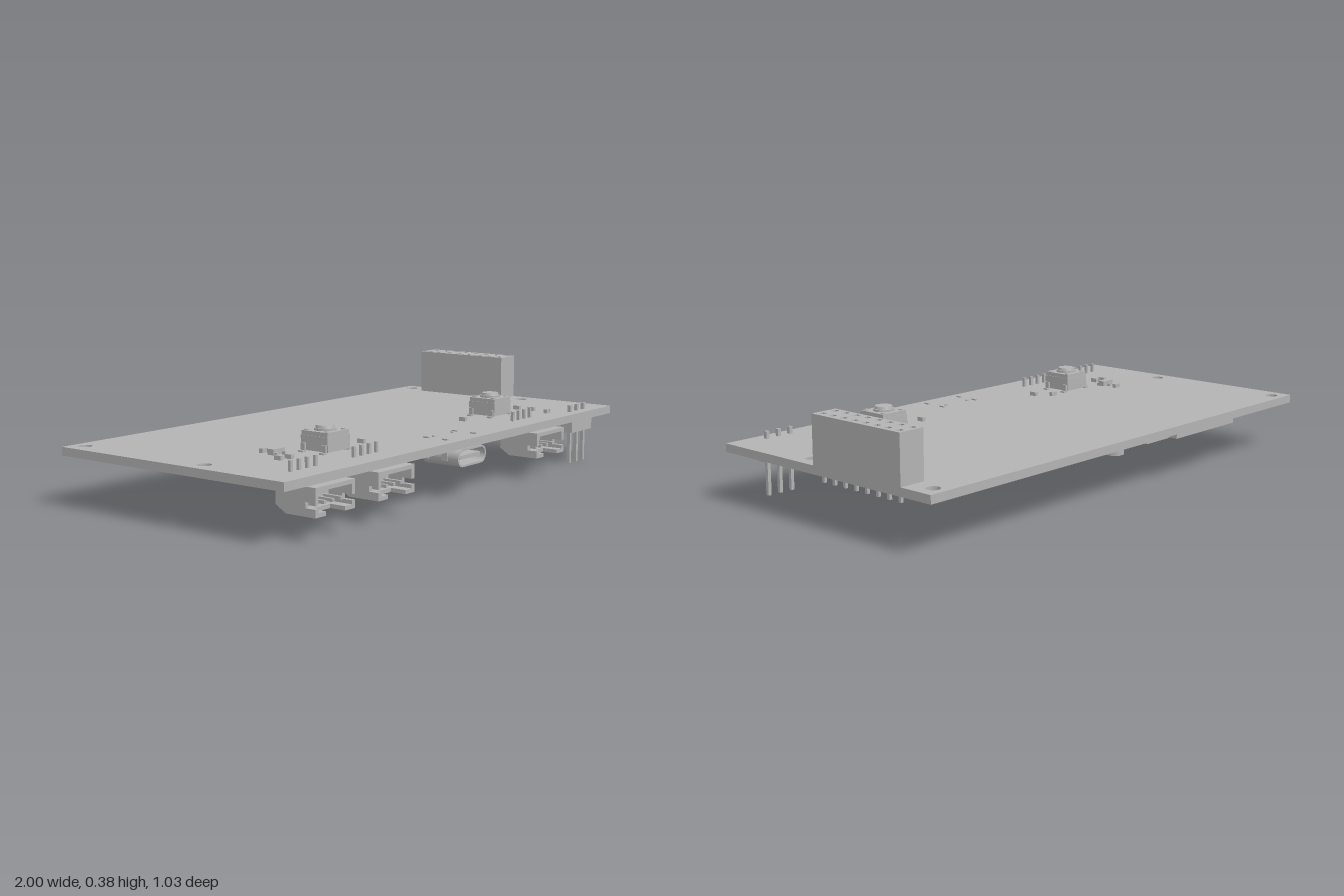
import * as THREE from 'three';

const grey = new THREE.MeshStandardMaterial({ color: 0xb3b3b3 });
grey.name = 'plain grey';
const TOP = 0.204, BOTTOM = 0.174;

function add(parent, name, geometry, x = 0, y = 0, z = 0) {
  const mesh = new THREE.Mesh(geometry, grey);
  mesh.name = name;
  mesh.position.set(x, y, z);
  parent.add(mesh);
  return mesh;
}

// Box given by its limits on each axis
function box(parent, name, x0, x1, y0, y1, z0, z1) {
  return add(parent, name, new THREE.BoxGeometry(x1 - x0, y1 - y0, z1 - z0),
    (x0 + x1) / 2, (y0 + y1) / 2, (z0 + z1) / 2);
}

// Box centred on x, z and standing between two heights
const post = (parent, name, x, z, w, d, y0, y1) =>
  box(parent, name, x - w / 2, x + w / 2, y0, y1, z - d / 2, z + d / 2);

const polygon = points => points.map(([x, y]) => new THREE.Vector2(x, y));
const rect = (x0, x1, z0, z1) => polygon([[x0, -z0], [x0, -z1], [x1, -z1], [x1, -z0]]);

// Plan outline (x, -z) raised to a height
function plate(shape, height) {
  const g = new THREE.ExtrudeGeometry(shape, { depth: height, bevelEnabled: false, curveSegments: 16 });
  return g.rotateX(-Math.PI / 2);
}

function group(parent, name, x = 0, y = 0, z = 0) {
  const g = new THREE.Group();
  g.name = name;
  g.position.set(x, y, z);
  parent.add(g);
  return g;
}

function addBoard(root) {
  const shape = new THREE.Shape(rect(-1, 1, -0.515, 0.48));
  for (const x of [-0.94, 0.94]) for (const z of [-0.465, 0.095])
    shape.holes.push(new THREE.Path().absarc(x, -z, 0.024, 0, Math.PI * 2, true));
  add(root, 'circuitBoard', plate(shape, TOP - BOTTOM), 0, BOTTOM, 0);
}

// Two rows of eight square sockets, with pins under the board
function addSocket(root) {
  const g = group(root, 'socketHeader');
  const shape = new THREE.Shape(rect(0.9, 1, -0.385, 0.022));
  for (const x of [0.922, 0.975]) for (let i = 0; i < 8; i++) {
    const z = -0.36 + i * 0.051, r = 0.01;
    shape.holes.push(new THREE.Path(rect(x - r, x + r, z - r, z + r)));
    post(g, 'socketPin', x, z, 0.011, 0.011, 0.147, TOP + 0.01);
  }
  add(g, 'socketHousing', plate(shape, 0.171), 0, TOP, 0);
}

function addButton(root, x) {
  const g = group(root, 'pushButton', x, TOP, 0.232);
  post(g, 'buttonBody', 0, 0, 0.116, 0.116, 0.006, 0.056);
  post(g, 'buttonCover', 0, 0, 0.112, 0.112, 0.056, 0.071);
  add(g, 'buttonCollar', new THREE.CylinderGeometry(0.038, 0.038, 0.008, 32), 0, 0.074, 0);
  add(g, 'buttonCap', new THREE.CylinderGeometry(0.031, 0.034, 0.012, 32), 0, 0.082, 0);
  for (const sx of [-1, 1]) for (const sz of [-1, 1]) {
    add(g, 'buttonRivet', new THREE.CylinderGeometry(0.008, 0.008, 0.004, 12), sx * 0.043, 0.073, sz * 0.043);
    post(g, 'buttonLeg', sx * 0.061, sz * 0.045, 0.008, 0.018, 0, 0.03);
    post(g, 'buttonFoot', sx * 0.068, sz * 0.045, 0.016, 0.018, 0, 0.006);
  }
}

// Side-entry four-pin connector hung below the board edge
function addConnector(root, x) {
  const g = group(root, 'cableConnector', x);
  const h = 0.097, wall = 0.016;
  const side = new THREE.Shape(polygon([
    [0.515, 0.174], [0.515, 0.126], [0.475, 0.126], [0.475, 0.107], [0.515, 0.107],
    [0.515, 0.08], [0.395, 0.08], [0.355, 0.105], [0.355, 0.174],
  ]));
  for (const left of [-h, h - wall]) {
    const geo = new THREE.ExtrudeGeometry(side, { depth: wall, bevelEnabled: false });
    // profile plane becomes (z, y)
    geo.rotateY(-Math.PI / 2);
    add(g, 'connectorSide', geo, left + wall, 0, 0);
  }
  box(g, 'connectorCeiling', -h, h, 0.16, 0.174, 0.4, 0.515);
  box(g, 'connectorBack', -h, h, 0.08, 0.174, 0.398, 0.42);
  box(g, 'connectorFloor', -h, h, 0.08, 0.094, 0.398, 0.455);
  for (const s of [-1, 1])
    post(g, 'connectorFloorProng', s * 0.072, 0.485, 0.05, 0.06, 0.08, 0.094);
  for (let i = 0; i < 4; i++) {
    const px = (i - 1.5) * 0.04;
    post(g, 'connectorPin', px, 0.385, 0.011, 0.011, 0.109, 0.24);
    post(g, 'connectorContact', px, 0.435, 0.011, 0.11, 0.109, 0.12);
  }
}

function addPinHeader(root) {
  const g = group(root, 'pinHeader');
  for (const x of [0.757, 0.808, 0.859]) {
    post(g, 'headerBlock', x, 0.435, 0.051, 0.05, 0.125, BOTTOM);
    post(g, 'headerPin', x, 0.435, 0.013, 0.013, 0, 0.23);
  }
}

// Rounded slot outline in the x, y plane
function slot(Type, halfWidth, r) {
  const p = new Type(), a = halfWidth - r;
  p.absarc(a, 0, r, -Math.PI / 2, Math.PI / 2, false);
  p.absarc(-a, 0, r, Math.PI / 2, Math.PI * 1.5, false);
  p.closePath();
  return p;
}

function addPort(root) {
  const g = group(root, 'chargingPort', -0.003, 0.142, 0);
  const opts = depth => ({ depth, bevelEnabled: false, curveSegments: 12 });
  const shell = slot(THREE.Shape, 0.088, 0.032);
  shell.holes.push(slot(THREE.Path, 0.081, 0.025));
  add(g, 'portShell', new THREE.ExtrudeGeometry(shell, opts(0.13)), 0, 0, 0.355);
  add(g, 'portBack', new THREE.ExtrudeGeometry(slot(THREE.Shape, 0.088, 0.032), opts(0.02)), 0, 0, 0.336);
  box(g, 'portTongue', -0.064, 0.064, -0.007, 0.007, 0.355, 0.475);
  for (const s of [-1, 1]) {
    for (const z of [0.35, 0.43]) post(g, 'portTab', s * 0.088, z, 0.008, 0.022, -0.01, 0.067);
    add(g, 'portPeg', new THREE.CylinderGeometry(0.006, 0.006, 0.045, 12), s * 0.058, 0.045, 0.36);
  }
}

// Radio module with a metal shield under the board
function addModule(root) {
  const g = group(root, 'radioModule');
  box(g, 'moduleBoard', -0.6, -0.24, 0.158, BOTTOM, -0.515, -0.005);
  box(g, 'moduleShield', -0.585, -0.25, 0.114, 0.158, -0.375, -0.025);
}

// Chip with feet along two sides, under the board
function addChip(root, x, z, w, d, height, feet) {
  const g = group(root, 'chip', x, 0, z);
  post(g, 'chipBody', 0, 0, w, d, BOTTOM - height, BOTTOM - 0.003);
  for (const s of [-1, 1]) for (let i = 0; i < feet; i++)
    post(g, 'chipFoot', s * (w / 2 + 0.008), (i - (feet - 1) / 2) * d / feet, 0.024, 0.009,
      BOTTOM - 0.012, BOTTOM);
}

// Small part with metal ends; below the board when under is true
function addSmallPart(root, [x, z, along], under) {
  const h = 0.015;
  const g = group(root, 'smallComponent', x, under ? BOTTOM - h : TOP, z);
  const l = 0.028, w = 0.015;
  if (along === 'z') g.rotation.y = Math.PI / 2;
  post(g, 'componentBody', 0, 0, l * 0.6, w * 0.94, 0, h);
  for (const s of [-1, 1]) post(g, 'componentEnd', s * l * 0.4, 0, l * 0.2, w, 0, h);
}

export function createModel() {
  const root = new THREE.Group();
  root.name = 'circuitBoardAssembly';
  addBoard(root);
  addSocket(root);
  for (const x of [-0.505, 0.495]) addButton(root, x);
  for (const x of [-0.8, -0.485, 0.478]) addConnector(root, x);
  addPinHeader(root);
  addPort(root);
  addModule(root);

  // Chips and the power parts
  addChip(root, -0.155, -0.17, 0.07, 0.085, 0.028, 4);
  addChip(root, -0.67, 0.21, 0.085, 0.1, 0.03, 4);
  for (const z of [-0.295, -0.405]) {
    const g = group(root, 'powerCoil', -0.02, 0, z);
    post(g, 'coilBase', 0, 0, 0.08, 0.06, 0.156, BOTTOM);
    const coil = add(g, 'coilBody', new THREE.CylinderGeometry(0.034, 0.034, 0.034, 8), 0, 0.142, 0);
    coil.rotation.y = Math.PI / 8;
  }

  // Small transistor on the top
  const t = group(root, 'transistor', -0.663, TOP, 0.153);
  post(t, 'transistorBody', 0, 0, 0.058, 0.027, 0.002, 0.022);
  for (const [x, z] of [[0, -0.017], [-0.019, 0.017], [0.019, 0.017]])
    post(t, 'transistorLeg', x, z, 0.009, 0.016, 0, 0.01);

  const above = [
    [-0.66, 0.095, 'x'], [-0.732, 0.225, 'z'], [-0.693, 0.235, 'z'], [-0.365, 0.18, 'x'],
    [-0.313, 0.235, 'z'], [0.307, 0.235, 'z'], [0.686, 0.235, 'z'], [0.69, 0.3, 'z'], [0.675, 0.38, 'x'],
  ];
  const below = [
    [-0.03, 0.26, 'x'], [-0.1, 0.15, 'z'], [0.45, 0.18, 'x'], [0.27, 0.21, 'z'], [0.22, 0.24, 'x'],
    [0.68, 0.32, 'z'], [0.1, 0.28, 'z'], [-0.37, 0.28, 'x'], [-0.15, 0.06, 'x'], [-0.08, -0.05, 'x'],
    [0.06, -0.22, 'z'], [0.06, -0.35, 'z'],
  ];
  for (let i = 0; i < 6; i++) below.push([-0.2, -0.42 + i * 0.038, 'x']);
  above.forEach(p => addSmallPart(root, p, false));
  below.forEach(p => addSmallPart(root, p, true));
  return root;
}
